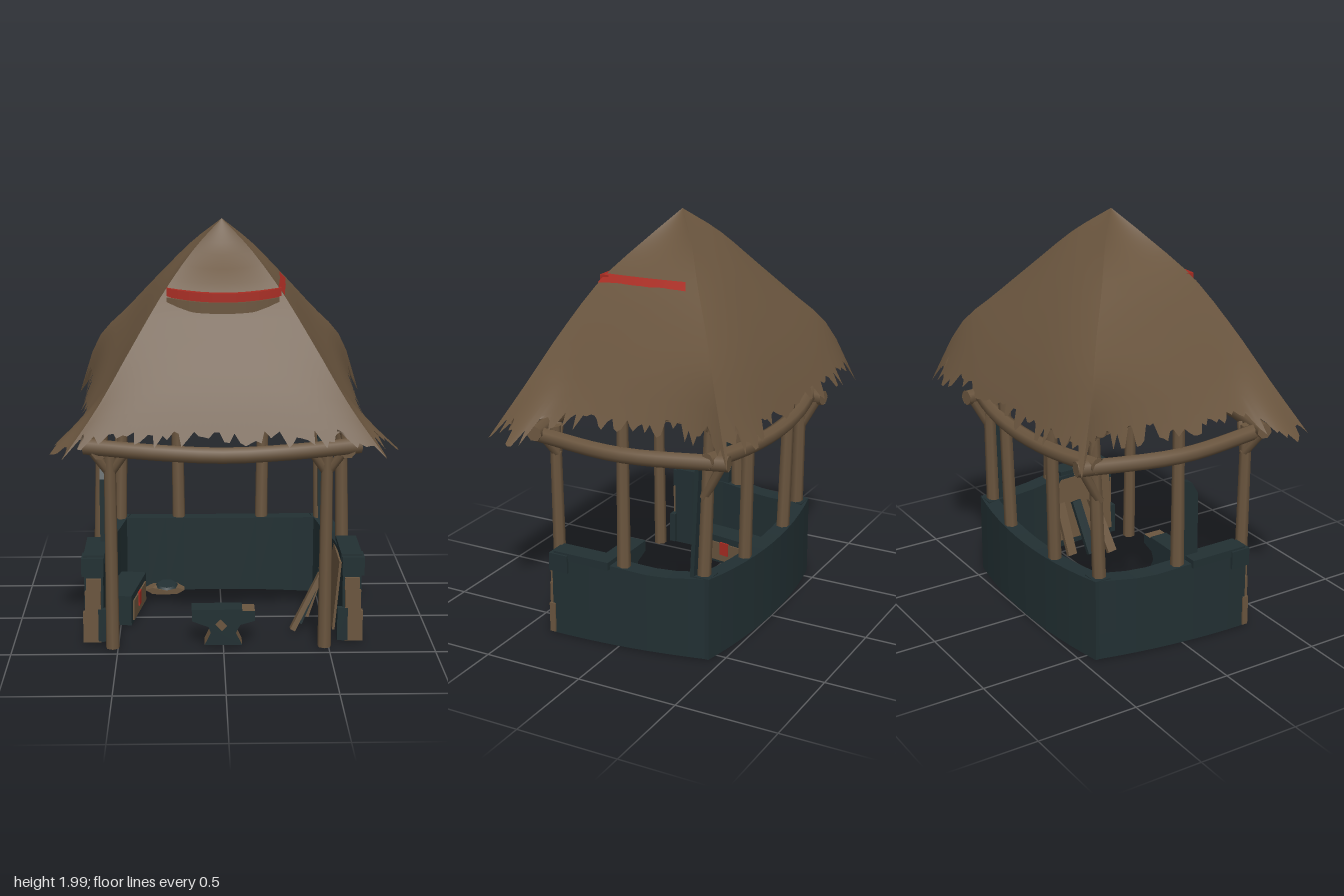
import * as THREE from 'three';

export function createModel() {
  const model = new THREE.Group();
  const mat = (name, color) => {
    const m = new THREE.MeshStandardMaterial({ color, side: THREE.DoubleSide });
    m.name = name;
    return m;
  };
  const wood = mat('weathered brown', 0x6b563f);
  const slate = mat('dark slate', 0x223033);
  const red = mat('red cloth', 0xa82c22);
  const V = (x, y, z) => new THREE.Vector3(x, y, z);
  let seed = 7;
  const rand = () => (seed = (seed * 16807) % 2147483647) / 2147483647;

  const add = (name, geo, m, x = 0, y = 0, z = 0) => {
    const mesh = new THREE.Mesh(geo, m);
    mesh.name = name;
    mesh.position.set(x, y, z);
    model.add(mesh);
    return mesh;
  };
  const box = (name, m, w, h, d, x, y, z) => add(name, new THREE.BoxGeometry(w, h, d), m, x, y, z);
  // Stretches a geometry made along y between two points
  const span = (name, geo, m, a, b) => {
    const mesh = add(name, geo, m);
    mesh.position.copy(a).lerp(b, 0.5);
    mesh.quaternion.setFromUnitVectors(V(0, 1, 0), b.clone().sub(a).normalize());
    return mesh;
  };
  const plank = (name, m, a, b, w, d) => span(name, new THREE.BoxGeometry(w, a.distanceTo(b), d), m, a, b);
  const pole = (name, a, b, r0, r1 = r0) => span(name, new THREE.CylinderGeometry(r1, r0, a.distanceTo(b), 7), wood, a, b);
  // Moves every vertex by a rule
  const bend = (geo, rule) => {
    const p = geo.attributes.position, v = V(0, 0, 0);
    for (let i = 0; i < p.count; i++) {
      rule(v.fromBufferAttribute(p, i));
      p.setXYZ(i, v.x, v.y, v.z);
    }
    geo.computeVertexNormals();
    return geo;
  };

  // Roof lines from the peak down the ridges and down the face centres
  const line = (pts, sx = 1) => new THREE.CatmullRomCurve3(pts.map(([x, y, z]) => V(x * sx, y, z)));
  const frontRidge = [[0, 2, 0], [0.13, 1.87, 0.12], [0.27, 1.69, 0.28], [0.42, 1.45, 0.42], [0.57, 1.2, 0.54], [0.73, 0.98, 0.64]];
  const backRidge = [[0, 2, 0], [0.14, 1.88, -0.12], [0.3, 1.71, -0.24], [0.46, 1.53, -0.37], [0.62, 1.35, -0.49], [0.73, 1.04, -0.61]];
  const sideMid = [[0, 2, 0], [0.13, 1.86, 0], [0.29, 1.7, 0.02], [0.43, 1.5, 0.02], [0.56, 1.3, 0.02], [0.68, 1.08, 0.04]];
  const frontMid = [[0, 2, 0], [0, 1.85, 0.11], [0, 1.68, 0.29], [0, 1.46, 0.42], [0, 1.25, 0.54], [0, 1.03, 0.645]];
  const backMid = [[0, 2, 0], [0, 1.87, -0.13], [0, 1.72, -0.26], [0, 1.53, -0.4], [0, 1.33, -0.53], [0, 1.09, -0.66]];
  const FR = line(frontRidge), FL = line(frontRidge, -1), BR = line(backRidge), BL = line(backRidge, -1);
  const faces = {
    front: [FL, line(frontMid), FR], right: [FR, line(sideMid), BR],
    back: [BR, line(backMid), BL], left: [BL, line(sideMid, -1), FL],
  };
  const roofPoint = ([a, mid, b], s, t) => {
    const A = a.getPoint(t), B = b.getPoint(t);
    const isSide = A.x * B.x > 0;
    const bow = mid.getPoint(t).sub(A.clone().add(B).multiplyScalar(0.5));
    const p = A.lerp(B, (s + 1) / 2).addScaledVector(bow, 1 - Math.abs(s) ** (2 + 4 * t ** 3));
    // The eave flares out and droops beside the front corners
    if (isSide && t > 0.7) {
      const k = ((t - 0.7) / 0.3) ** 2 * Math.exp(-(((p.z - 0.49) / 0.1) ** 2)) * (1 - s ** 8);
      p.x += Math.sign(p.x) * 0.16 * k;
      p.y -= 0.1 * k;
    }
    return p;
  };
  const roofPatch = (face, s0, s1, t0, t1, ns, nt, ragged, lift) => {
    const pos = [], idx = [];
    for (let j = 0; j <= nt; j++) {
      for (let i = 0; i <= ns; i++) {
        const s = s0 + ((s1 - s0) * i) / ns;
        let t = t0 + ((t1 - t0) * j) / nt;
        // Straw is cut unevenly, most of all near the corners
        if (j === nt) t -= ragged * rand() * (i === 0 || i === ns ? 0 : 1 + 0.5 * s * s);
        const p = roofPoint(face, s, t);
        p.addScaledVector(V(p.x, 0, p.z).normalize(), lift).y += lift;
        pos.push(p.x, p.y, p.z);
        if (i < ns && j < nt) {
          const k = j * (ns + 1) + i, n = k + ns + 1;
          idx.push(k, n, k + 1, k + 1, n, n + 1);
        }
      }
    }
    const g = new THREE.BufferGeometry();
    g.setAttribute('position', new THREE.Float32BufferAttribute(pos, 3));
    g.setIndex(idx);
    g.computeVertexNormals();
    return g;
  };
  for (const [name, face] of Object.entries(faces)) {
    add(name + 'RoofThatch', roofPatch(face, -1, 1, 0, 1, 60, 14, 0.07, 0), wood);
    // Boards under the thatch
    for (let i = 0; i < 12; i++) {
      const s = -0.88 + i * 0.16;
      const low = roofPoint(face, s, 0.82 + 0.07 * rand()).multiply(V(0.92, 0.98, 0.92));
      const high = roofPoint(face, s * 0.9 + 0.2 * (rand() - 0.5), 0.25 + 0.12 * rand()).multiply(V(0.8, 0.97, 0.8));
      plank('roofBoard', rand() < 0.27 ? slate : wood, low, high, 0.04 + 0.03 * rand(), 0.025);
    }
  }

  // Lip across the front of the roof and the stripe on its side
  const lip = (w, h, d) => bend(new THREE.BoxGeometry(w, h, d, 10, 1, 1).toNonIndexed(), (v) => {
    const k = (v.x / 0.27) ** 2;
    v.y += 0.022 * k;
    v.z -= 0.045 * k;
  });
  add('redRoofLip', lip(0.53, 0.04, 0.045), red, 0.005, 1.665, 0.314);
  add('roofLipUnderside', lip(0.52, 0.05, 0.05), wood, 0, 1.62, 0.328);
  add('redRoofStripe', roopStripe(), red);
  function roopStripe() {
    return roofPatch(faces.right, -1, 0.75, 0.38, 0.42, 12, 2, 0.006, 0.002);
  }

  // Ring beam
  const ring = [
    [[-0.64, 1, 0.45], [-0.3, 0.985, 0.52], [0, 0.975, 0.54], [0.3, 0.985, 0.52], [0.63, 1, 0.45]],
    [[-0.57, 1, -0.43], [-0.28, 0.985, -0.49], [0, 0.98, -0.51], [0.28, 0.985, -0.49], [0.57, 1, -0.43]],
    [[0.57, 0.98, 0.48], [0.61, 0.97, 0], [0.53, 0.99, -0.52]],
    [[-0.57, 0.98, 0.48], [-0.61, 0.97, 0], [-0.53, 0.99, -0.52]],
  ];
  for (const pts of ring) {
    add('ringBeam', new THREE.TubeGeometry(line(pts), 12, 0.038, 7), wood);
    for (const i of [0, pts.length - 1]) {
      const e = V(...pts[i]), n = V(...pts[i ? i - 1 : 1]);
      pole('beamEnd', e, e.clone().lerp(n, 0.02), 0.037);
    }
  }

  // Posts and forked braces
  for (const s of [-1, 1]) {
    const x = s < 0 ? -0.525 : 0.48;
    pole('frontPost', V(x, 0.01, 0.42), V(x, 1, 0.43), 0.033, 0.028);
    pole('frontBrace', V(x, 0.86, 0.42), V(x + 0.08, 0.98, 0.46), 0.022);
    pole('frontBrace', V(x, 0.86, 0.42), V(x - 0.08, 0.98, 0.46), 0.022);
    pole('sidePost', V(s * 0.6, 0.35, -0.01), V(s * 0.58, 1.2, 0), 0.034, 0.028);
    pole('backPost', V(s * 0.215, 0.3, -0.45), V(s * 0.225, 1.18, -0.47), 0.034, 0.03);
    pole('backCornerPost', V(s * 0.52, 0.35, -0.39), V(s * 0.5, 1.2, -0.41), 0.034, 0.028);
    pole('backCornerBrace', V(s * 0.52, 0.8, -0.39), V(s * 0.53, 1, -0.5), 0.022);
  }
  plank('cornerSlat', slate, V(0.535, 0.4, -0.35), V(0.525, 0.95, -0.37), 0.055, 0.02);
  // Upright board beside the left post
  const board = new THREE.Shape([[-0.05, 0], [0.04, -0.01], [0.045, 0.4], [-0.01, 0.38], [-0.045, 0.32]].map((p) => new THREE.Vector2(...p)));
  const slab = add('uprightBoard', new THREE.ExtrudeGeometry(board, { depth: 0.04, bevelEnabled: false }), slate, -0.595, 0.43, 0.06);
  slab.rotation.y = Math.PI / 2;

  // Low walls: bowed back and two sides that draw in toward the back
  const backWall = new THREE.BoxGeometry(1.13, 0.39, 0.08, 12, 1, 1).toNonIndexed();
  add('backWall', bend(backWall, (v) => {
    v.z -= 0.06 * (1 - (v.x / 0.565) ** 2);
    if (v.y > 0) v.y += 0.02 * (v.x / 0.565) ** 2;
  }), slate, 0, 0.205, -0.4);
  for (const s of [-1, 1]) {
    const side = new THREE.BoxGeometry(0.09, 0.4, 0.79, 1, 3, 8).toNonIndexed();
    add('sideWall', bend(side, (v) => {
      v.x -= s * 0.1 * (0.5 - v.z / 0.79) ** 2;
      if (v.y > 0.15) v.y += 0.01 * Math.sin(v.z * 11);
    }), slate, s * 0.615, 0.21, -0.045);
    box('sideWallCap', slate, 0.105, 0.09, 0.1, s * 0.62, 0.385, 0.31);
    box('sideWallTopSlab', slate, 0.1, 0.04, 0.3, s * 0.613, 0.42, 0.19);
    // Splintered wooden wall ends
    [[0.085, 0.15, 0.09], [0.075, 0.11, 0.215], [0.07, 0.06, 0.3]].forEach(([w, h, y], i) =>
      box('wallEndBoard', wood, w, h, 0.03, s * (0.625 - 0.005 * i), y, 0.352));
    box('wallEndFoot', slate, 0.05, 0.16, 0.03, s * 0.57, 0.1, 0.355);
  }

  // Anvil
  const anvil = new THREE.Shape([[-0.15, 0.18], [-0.15, 0.13], [-0.07, 0.1], [-0.06, 0.07], [-0.09, 0.01], [0.09, 0.01],
    [0.06, 0.07], [0.08, 0.11], [0.15, 0.13], [0.15, 0.18]].map((p) => new THREE.Vector2(...p)));
  add('anvil', new THREE.ExtrudeGeometry(anvil, { depth: 0.1, bevelEnabled: false }), [slate, wood], 0, 0, 0.3);
  box('anvilTop', slate, 0.24, 0.008, 0.1, -0.03, 0.183, 0.35);
  const mark = box('anvilMark', wood, 0.035, 0.045, 0.006, -0.01, 0.11, 0.402);
  mark.rotation.z = Math.PI / 4;

  // Forge trough turned a little toward the front, with a glowing opening
  const trough = new THREE.Group();
  trough.name = 'forgeTrough';
  trough.add(
    box('troughBody', slate, 0.14, 0.15, 0.38, 0, 0, 0),
    box('troughPanel', wood, 0.008, 0.1, 0.31, 0.073, -0.01, 0),
    box('troughGlow', red, 0.009, 0.07, 0.05, 0.078, 0.012, 0.02),
  );
  trough.position.set(-0.485, 0.09, -0.06);
  trough.rotation.y = -0.16;
  model.add(trough);
  // Low ash heap against the back wall
  const heap = add('ashHeap', new THREE.DodecahedronGeometry(0.1), wood, -0.29, 0.035, -0.36);
  heap.scale.set(1.1, 0.3, 0.7);
  const ash = add('ashHollow', new THREE.CylinderGeometry(0.05, 0.06, 0.01, 7), slate, -0.28, 0.064, -0.34);
  ash.rotation.x = 0.15;

  // Panel and boards leaning on the right wall
  plank('leaningPanel', wood, V(0.53, 0.06, 0.17), V(0.56, 0.4, 0.17), 0.012, 0.33);
  for (let i = 0; i < 3; i++) {
    plank('leaningBoard', i === 1 ? slate : wood, V(0.34 + 0.04 * i, 0.02, 0.22 - 0.1 * i), V(0.48 + 0.015 * i, 0.29, 0.18 - 0.09 * i), 0.025, 0.05);
  }
  return model;
}
